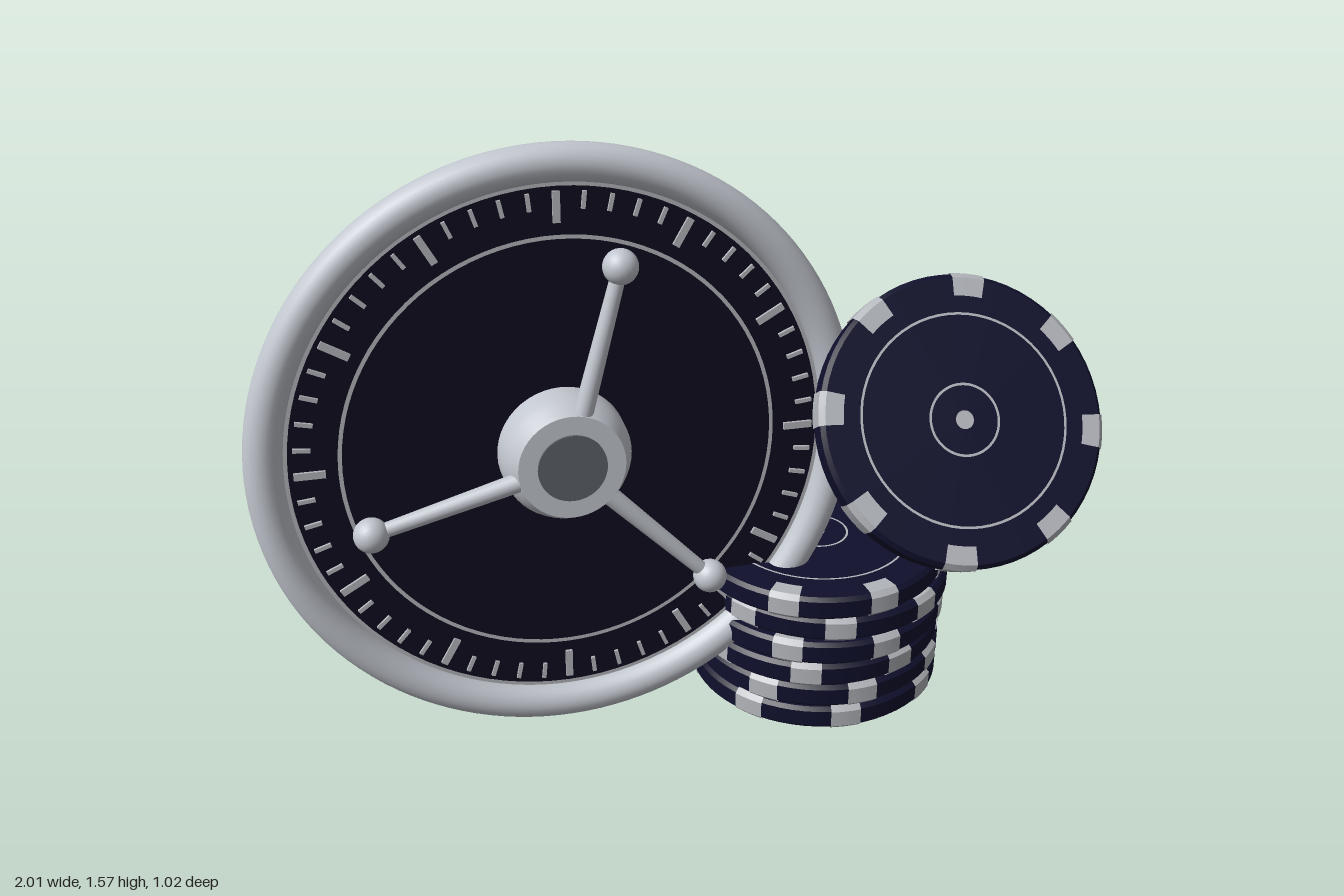
import * as THREE from 'three';
import { toCreasedNormals } from 'three/addons/utils/BufferGeometryUtils.js';

const DEG = Math.PI / 180;

export function createModel() {
  const mat = (name, color, side = THREE.FrontSide) => {
    const m = new THREE.MeshStandardMaterial({ color, side });
    m.name = name;
    return m;
  };
  const navy = mat('navy', 0x0f0f2c);
  const face = mat('dialFace', 0x0d0b1d);
  const silver = mat('silver', 0xc2c6ce);
  const pale = mat('paleInlay', 0xb2b5ba, THREE.DoubleSide);
  const grey = mat('hubCapGrey', 0x5c6268);

  const add = (parent, name, geometry, material) => {
    const mesh = new THREE.Mesh(geometry, material);
    mesh.name = name;
    parent.add(mesh);
    return mesh;
  };
  const lathe = (points, segments, start = 0, length = Math.PI * 2) =>
    toCreasedNormals(new THREE.LatheGeometry(
      points.map(([x, y]) => new THREE.Vector2(x, y)), segments, start, length), 0.5);

  const model = new THREE.Group();
  model.name = 'vaultDialAndChips';

  // Dial: local +z is its facing direction
  const dial = new THREE.Group();
  dial.name = 'vaultDial';
  dial.position.set(-0.277, 0.812, 0.147);
  dial.rotation.set(-0.065, 18 * DEG, 0);
  model.add(dial);

  add(dial, 'backPlate', lathe(
    [[0, -0.12], [0.68, -0.12], [0.697, -0.105], [0.697, -0.005], [0, -0.005]], 96)
    .rotateX(Math.PI / 2), navy);
  add(dial, 'dialFace', new THREE.CircleGeometry(0.69, 96), face);
  add(dial, 'rim', new THREE.TorusGeometry(0.714, 0.046, 24, 128), silver);
  for (const [name, r] of [['outerRing', 0.664], ['innerRing', 0.538]]) {
    add(dial, name, new THREE.RingGeometry(r - 0.005, r + 0.005, 96), pale).position.z = 0.004;
  }

  // Tick marks, longer every fifth
  for (let i = 0; i < 60; i++) {
    const major = i % 5 === 0;
    const length = major ? 0.075 : 0.042;
    const tick = new THREE.BoxGeometry(major ? 0.018 : 0.01, length, 0.008);
    tick.translate(0, 0.647 - length / 2, 0.004).rotateZ(-i * 6 * DEG);
    add(dial, major ? 'majorTick' : 'minorTick', tick, pale);
  }

  // Hub with a bevelled front and a grey cap
  add(dial, 'hub', lathe(
    [[0.163, -0.01], [0.16, 0.06], [0.15, 0.085], [0.132, 0.12], [0, 0.12]], 48)
    .rotateX(Math.PI / 2), silver);
  add(dial, 'hubCap', new THREE.CylinderGeometry(0.085, 0.085, 0.012, 48)
    .rotateX(Math.PI / 2).translate(0, 0, 0.12), grey);

  // Three handles ending in balls
  for (const angle of [75, 195, 315]) {
    const handle = new THREE.Group();
    handle.name = 'handle';
    handle.rotation.z = (angle - 90) * DEG;
    add(handle, 'spoke', new THREE.CylinderGeometry(0.018, 0.025, 0.42, 20)
      .translate(0, 0.29, 0.095), silver);
    add(handle, 'handleBall', new THREE.SphereGeometry(0.043, 24, 16)
      .translate(0, 0.5, 0.095), silver);
    dial.add(handle);
  }

  // Chip: bevelled disc, eight edge spots, rings and dot on both faces
  const R = 0.343, H = 0.0325, B = 0.01, E = 0.003;
  const bodyGeo = lathe([[0, -H], [R - B, -H], [R, -H + B], [R, H - B], [R - B, H], [0, H]], 64);
  const spotProfile = [[0.29, -H - E], [R - B, -H - E], [R + E, -H + B],
    [R + E, H - B], [R - B, H + E], [0.29, H + E]];
  const spotWidth = 13.5 * DEG;
  const spotGeo = lathe(spotProfile, 4, -spotWidth / 2, spotWidth);
  const ringGeo = (r, w) => new THREE.RingGeometry(r - w, r + w, 64).rotateX(-Math.PI / 2);
  const inlays = [['chipOuterRing', ringGeo(0.248, 0.003)], ['chipInnerRing', ringGeo(0.083, 0.003)],
    ['chipDot', new THREE.CircleGeometry(0.022, 24).rotateX(-Math.PI / 2)]];

  const makeChip = (name, spotAngle) => {
    const chip = new THREE.Group();
    chip.name = name;
    add(chip, 'chipBody', bodyGeo, navy);
    for (let i = 0; i < 8; i++) {
      add(chip, 'edgeSpot', spotGeo, pale).rotation.y = (spotAngle + i * 45) * DEG;
    }
    for (const side of [-1, 1]) {
      for (const [part, geo] of inlays) {
        add(chip, part, geo, pale).position.y = side * (H + 0.002);
      }
    }
    model.add(chip);
    return chip;
  };

  // Stack of six: x, z and turn of each chip from the bottom up
  [[0.377, -0.158, 13], [0.378, -0.16, 20], [0.373, -0.158, 40],
    [0.381, -0.157, 30], [0.392, -0.167, 6], [0.373, -0.16, 29]]
    .forEach(([x, z, turn], i) => {
      makeChip('stackedChip', turn).position.set(x, 0.0405 + i * 0.0682, z);
    });

  // Tilted chip in the air
  const flying = makeChip('flyingChip', 6);
  flying.position.set(0.664, 0.973, 0.28);
  flying.quaternion.setFromUnitVectors(
    new THREE.Vector3(0, 1, 0), new THREE.Vector3(0.24, 0.55, 0.8).normalize());

  return model;
}
